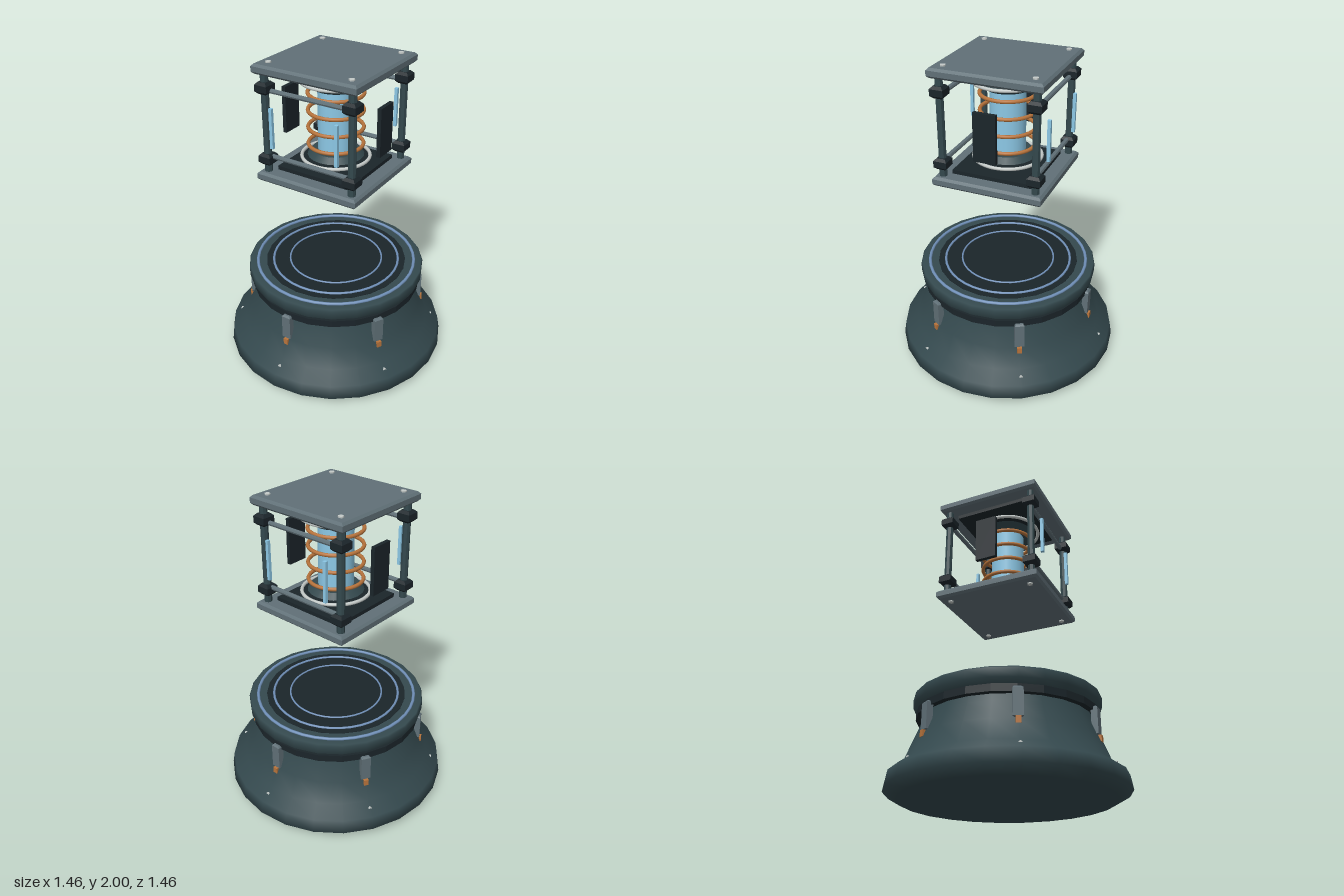
import * as THREE from 'three';

const mat = (color, extra = {}) => Object.assign(new THREE.MeshStandardMaterial({ color }), extra);
const teal = mat(0x34494e), tealFlat = mat(0x34494e, { flatShading: true });
const steel = mat(0x607077, { flatShading: true }), dark = mat(0x1b252a, { flatShading: true });
const copper = mat(0xb8743c), ringBlue = mat(0x7090b8), glow = mat(0x8cc8e6);
const silver = mat(0xc4cac8);

export function createModel() {
  const model = new THREE.Group();

  const add = (parent, name, geometry, material, x = 0, y = 0, z = 0) => {
    const mesh = new THREE.Mesh(geometry, material);
    mesh.name = name;
    mesh.position.set(x, y, z);
    parent.add(mesh);
    return mesh;
  };

  // Box with 45 degree chamfers on every edge, centred on the origin
  const chamferBox = (w, h, d, c) => {
    const x = w / 2 - c, z = d / 2 - c;
    const shape = new THREE.Shape([
      [-x, -z], [x, -z], [x, z], [-x, z],
    ].map(([a, b]) => new THREE.Vector2(a, b)));
    const g = new THREE.ExtrudeGeometry(shape, {
      depth: h - 2 * c, bevelThickness: c, bevelSize: c, bevelSegments: 1,
    });
    return g.translate(0, 0, -(h / 2 - c)).rotateX(-Math.PI / 2);
  };
  const lathe = (points) =>
    new THREE.LatheGeometry(points.map(([r, y]) => new THREE.Vector2(r, y)), 24);
  const ring = (radius, tube, sides = 40) =>
    new THREE.TorusGeometry(radius, tube, 8, sides).rotateX(Math.PI / 2);
  const cylinder = (r, h, sides) => new THREE.CylinderGeometry(r, r, h, sides);

  // Pedestal
  const pedestal = new THREE.Group();
  pedestal.name = 'pedestal';
  model.add(pedestal);
  add(pedestal, 'pedestalBody', lathe([
    [0, 0], [0.65, 0], [0.73, 0.045], [0.715, 0.13], [0.63, 0.19],
    [0.575, 0.325], [0.53, 0.44], [0.515, 0.53],
  ]), teal);
  add(pedestal, 'darkBand', cylinder(0.56, 0.045, 24), dark, 0, 0.502, 0);
  add(pedestal, 'rim', lathe([
    [0.5, 0.52], [0.535, 0.52], [0.578, 0.555], [0.58, 0.61], [0.572, 0.621],
    [0.53, 0.622], [0.45, 0.622],
  ]), teal);
  add(pedestal, 'topDisc', cylinder(0.463, 0.03, 24), dark, 0, 0.61, 0);
  [[0.52, 0.01], [0.415, 0.008], [0.305, 0.006]].forEach(([r, t]) =>
    add(pedestal, 'inlayRing', ring(r, t), ringBlue, 0, 0.627, 0));

  // Six brackets, each with a copper tip and a small bolt below
  for (let i = 0; i < 6; i++) {
    const bracket = new THREE.Group();
    bracket.name = 'bracket';
    bracket.rotation.y = i * Math.PI / 3;
    pedestal.add(bracket);
    add(bracket, 'bracketFin', chamferBox(0.06, 0.18, 0.04, 0.01), steel, 0, 0.415, 0.56);
    add(bracket, 'copperTip', new THREE.BoxGeometry(0.03, 0.04, 0.03), copper, 0, 0.31, 0.577);
    const bolt = add(bracket, 'baseBolt', cylinder(0.012, 0.02, 6), silver, 0, 0.16, 0.66);
    bolt.rotation.x = Math.PI / 2;
  }

  // Floating cage: mirrored end plates with liners and bolts
  const cage = new THREE.Group();
  cage.name = 'floatingCage';
  cage.position.y = 1.625;
  model.add(cage);
  const corners = [[1, 1], [1, -1], [-1, 1], [-1, -1]];
  for (const s of [1, -1]) {
    add(cage, 'endPlate', chamferBox(0.694, 0.06, 0.694, 0.014), steel, 0, s * 0.337, 0);
    add(cage, 'plateLiner', new THREE.BoxGeometry(0.51, 0.025, 0.51), dark, 0, s * 0.295, 0);
    for (const [x, z] of corners) {
      add(cage, 'plateBolt', cylinder(0.018, 0.02, 6), silver, x * 0.275, s * 0.365, z * 0.275);
      add(cage, 'cornerJoint', chamferBox(0.085, 0.072, 0.085, 0.016), dark, x * 0.295, s * 0.223, z * 0.295);
    }
    // Cross rods run along x on front and back only
    for (const z of [1, -1]) {
      const rod = add(cage, 'crossRod', cylinder(0.015, 0.56, 8), steel, 0, s * 0.207, z * 0.29);
      rod.rotation.z = Math.PI / 2;
    }
    add(cage, 'sidePanel', new THREE.BoxGeometry(0.025, 0.3, 0.14), dark, s * 0.333, 0, 0);
  }
  for (const [x, z] of corners) {
    add(cage, 'cornerPost', cylinder(0.024, 0.62, 8), tealFlat, x * 0.295, 0, z * 0.295);
    add(cage, 'lightStrip', new THREE.BoxGeometry(0.02, 0.25, 0.02), glow, x * 0.222, 0, z * 0.342);
  }

  // Energy core with end caps, halo rings and copper coils
  const core = new THREE.Group();
  core.name = 'core';
  cage.add(core);
  add(core, 'coreTube', cylinder(0.11, 0.42, 20), glow);
  for (const s of [1, -1]) {
    const cap = add(core, 'coreCap', new THREE.CylinderGeometry(0.175, 0.145, 0.035, 20), teal, 0, s * 0.215, 0);
    if (s < 0) cap.rotation.x = Math.PI;
    add(core, 'haloRing', ring(0.21, 0.011), silver, 0, s * 0.242, 0);
  }
  for (let i = 0; i < 4; i++) {
    add(core, 'copperCoil', ring(0.168, 0.012), copper, 0, -0.162 + i * 0.108, 0);
  }

  return model;
}
